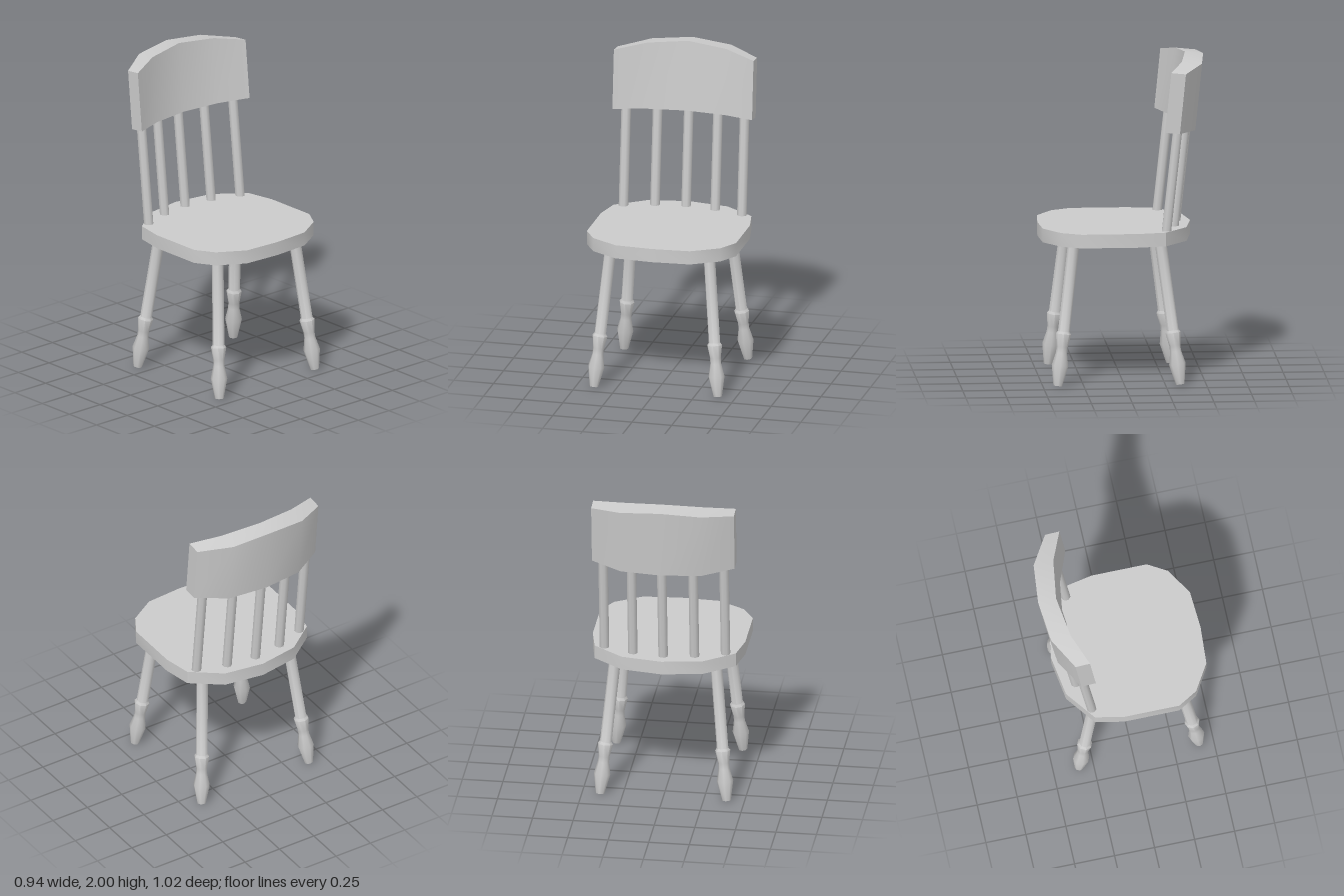
import * as THREE from 'three';
import { toCreasedNormals } from 'three/addons/utils/BufferGeometryUtils.js';

const material = new THREE.MeshStandardMaterial({ color: 0xcccccc });
const V = (x, y, z) => new THREE.Vector3(x, y, z);

function addMesh(group, name, geometry) {
  const mesh = new THREE.Mesh(geometry, material);
  mesh.name = name;
  group.add(mesh);
  return mesh;
}

// Stands a y-axis part on `from`, pointing towards `to`
function aim(mesh, from, to) {
  mesh.position.copy(from);
  mesh.quaternion.setFromUnitVectors(V(0, 1, 0), to.clone().sub(from).normalize());
}

// Seat: faceted rounded outline, half given and mirrored
function seatGeometry() {
  const half = [[0, 0.505], [0.235, 0.49], [0.4, 0.39], [0.47, 0.27],
    [0.47, -0.075], [0.435, -0.25], [0.25, -0.39], [0, -0.43]];
  const mirrored = half.slice(1, -1).reverse().map(([x, z]) => [-x, z]);
  const outline = [...half, ...mirrored].map(([x, z]) => new THREE.Vector2(x, -z));
  const geometry = new THREE.ExtrudeGeometry(new THREE.Shape(outline), { depth: 0.085, bevelEnabled: false });
  geometry.rotateX(-Math.PI / 2);
  geometry.translate(0, 0.87, 0);
  return toCreasedNormals(geometry, 0.61);
}

// Backrest: four-cornered sections swept across x, leaning backwards
function backrestGeometry() {
  // x, front z and back z at the bottom, top height at the front
  const sections = [[-0.44, -0.245, -0.335, 1.945], [-0.25, -0.32, -0.443, 1.98], [0, -0.355, -0.467, 2],
    [0.25, -0.32, -0.443, 1.98], [0.44, -0.245, -0.335, 1.945]];
  const positions = [], index = [];
  for (const [x, front, back, top] of sections) {
    const yFront = 1.575 + (front + 0.245) * 0.1;
    const yBack = 1.575 + (back + 0.245) * 0.1;
    const topBack = top - (front - back) * 0.1;
    positions.push(x, yFront, front, x, top, front - (top - yFront) * 0.1,
      x, topBack, back - (topBack - yBack) * 0.1, x, yBack, back);
  }
  const last = (sections.length - 1) * 4;
  for (let s = 0; s < last; s += 4) {
    for (let k = 0; k < 4; k++) {
      const a = s + k, b = s + (k + 1) % 4;
      index.push(a, a + 4, b + 4, a, b + 4, b);
    }
  }
  index.push(0, 1, 2, 0, 2, 3, last, last + 2, last + 1, last, last + 3, last + 2);
  const geometry = new THREE.BufferGeometry();
  geometry.setAttribute('position', new THREE.Float32BufferAttribute(positions, 3));
  geometry.setIndex(index);
  return toCreasedNormals(geometry, 0.61);
}

// Turned leg: eight-sided, with a collar and a tapered foot
function legGeometry() {
  const profile = [[0, 0], [0.027, 0], [0.051, 0.125], [0.034, 0.205], [0.034, 0.24],
    [0.047, 0.32], [0.036, 0.335], [0.036, 0.89], [0, 0.89]];
  const geometry = new THREE.LatheGeometry(profile.map(([r, y]) => new THREE.Vector2(r, y)), 8);
  return toCreasedNormals(geometry, 0.9);
}

export function createModel() {
  const chair = new THREE.Group();
  chair.name = 'chair';
  addMesh(chair, 'seat', seatGeometry());
  addMesh(chair, 'backrest', backrestGeometry());

  // Four splayed legs
  const leg = legGeometry();
  for (const side of [-1, 1]) {
    const label = side > 0 ? 'Left' : 'Right';
    aim(addMesh(chair, 'front' + label + 'Leg', leg), V(side * 0.39, 0.006, 0.41), V(side * 0.31, 0.88, 0.305));
    aim(addMesh(chair, 'back' + label + 'Leg', leg), V(side * 0.39, 0.006, -0.34), V(side * 0.31, 0.88, -0.225));
  }

  // Five spindles following the curve of the backrest
  const length = 0.68;
  const spindle = new THREE.CylinderGeometry(0.03, 0.03, length, 8);
  spindle.rotateY(Math.PI / 8);
  spindle.translate(0, length / 2, 0);
  for (const [x, z] of [[-0.373, -0.255], [-0.19, -0.315], [0, -0.34], [0.19, -0.315], [0.373, -0.255]]) {
    aim(addMesh(chair, 'spindle', spindle), V(x, 0.93, z), V(x, 1.6, z - 0.073));
  }
  return chair;
}
